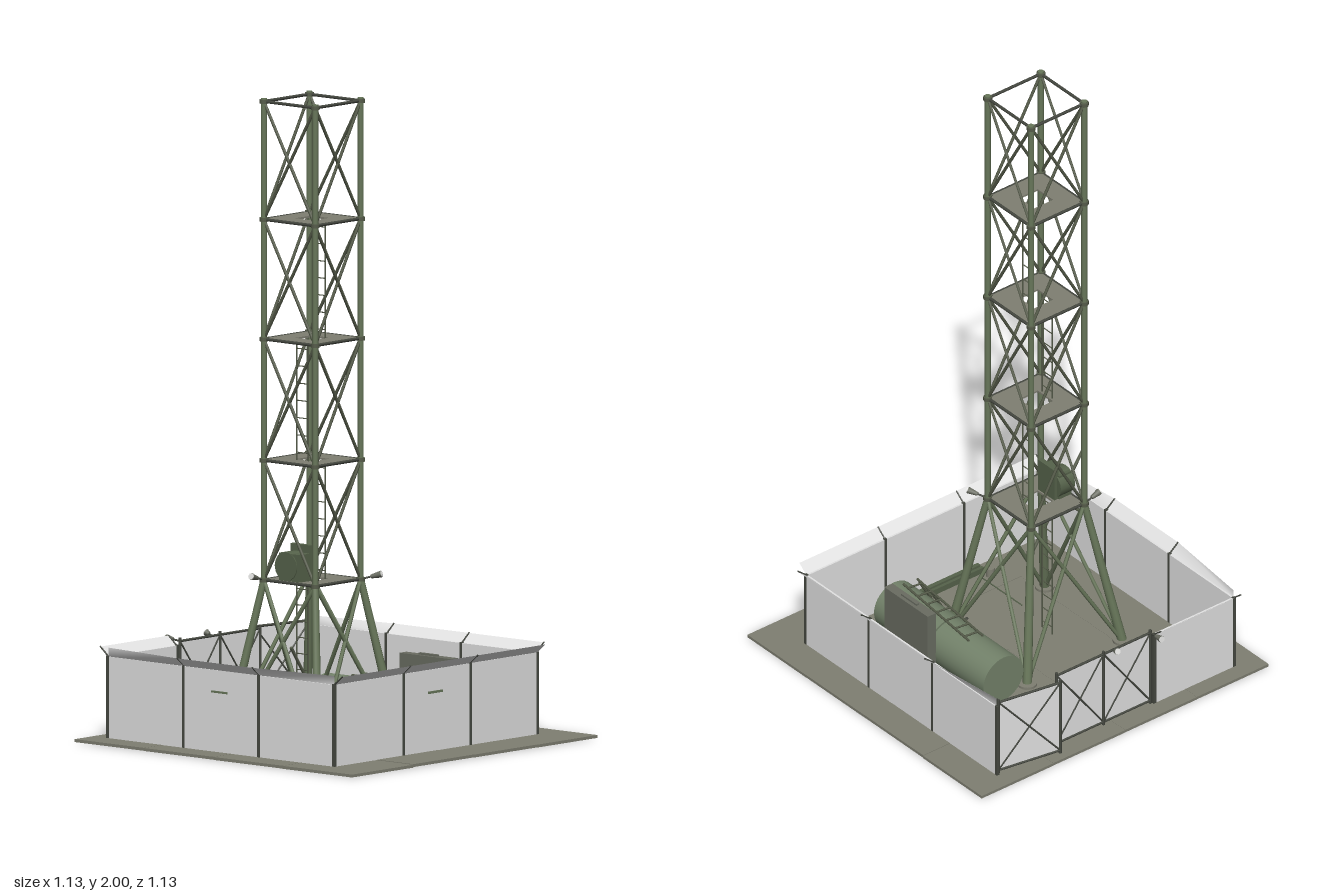
import * as THREE from 'three';

const mat = (name, color, side = THREE.FrontSide) => {
  const m = new THREE.MeshStandardMaterial({ color, side });
  m.name = name;
  return m;
};

export function createModel() {
  const root = new THREE.Group();
  root.name = 'fencedLatticeTower';
  const concrete = mat('olive grey concrete', 0x7f7f72);
  const panel = mat('light grey panel', 0xe3e3e3, THREE.DoubleSide);
  const green = mat('leg green', 0x68775a);
  const tankGreen = mat('tank green', 0x73826a);
  const deepGreen = mat('deep green', 0x56634b);
  const olive = mat('olive steel', 0x565c4a);
  const dark = mat('dark steel', 0x464941);
  const grey = mat('cabinet grey', 0x6a6d62);
  const white = mat('lamp white', 0xe8e8e6);

  const V = (x, y, z) => new THREE.Vector3(x, y, z);
  const group = (name, parent = root) => {
    const g = new THREE.Group();
    g.name = name;
    parent.add(g);
    return g;
  };
  const add = (parent, name, geo, m) => {
    const mesh = new THREE.Mesh(geo, m);
    mesh.name = name;
    parent.add(mesh);
    return mesh;
  };
  // Box given by its limits on each axis
  const box = (parent, name, x0, x1, y0, y1, z0, z1, m) => {
    const mesh = add(parent, name, new THREE.BoxGeometry(x1 - x0, y1 - y0, z1 - z0), m);
    mesh.position.set((x0 + x1) / 2, (y0 + y1) / 2, (z0 + z1) / 2);
    return mesh;
  };
  // Round bar between two points
  const bar = (parent, name, a, b, r, m, sides = 8, r2 = r) => {
    const d = b.clone().sub(a);
    const mesh = add(parent, name, new THREE.CylinderGeometry(r2, r, d.length(), sides), m);
    mesh.position.copy(a).add(b).multiplyScalar(0.5);
    mesh.quaternion.setFromUnitVectors(V(0, 1, 0), d.normalize());
    return mesh;
  };
  // Flat sheet with four corners in order
  const sheet = (parent, name, corners, m) => {
    const geo = new THREE.BufferGeometry().setFromPoints(corners);
    geo.setIndex([0, 1, 2, 0, 2, 3]);
    geo.computeVertexNormals();
    add(parent, name, geo, m);
  };
  // Ladder: two rails offset sideways from a centre line, and rungs
  const ladder = (parent, name, a, b, half, count, r) => {
    const g = group(name, parent);
    for (const s of [-1, 1]) {
      const o = half.clone().multiplyScalar(s);
      bar(g, 'ladderRail', a.clone().add(o), b.clone().add(o), r, olive, 6);
    }
    for (let i = 0; i < count; i++) {
      const p = a.clone().lerp(b, (i + 0.5) / count);
      bar(g, 'ladderRung', p.clone().sub(half), p.clone().add(half), r * 0.8, olive, 6);
    }
  };

  // Ground slabs, laid slightly unevenly
  const ground = group('ground');
  for (let i = 0; i < 4; i++) for (let j = 0; j < 4; j++) {
    const x = -0.57 + i * 0.2835, z = -0.57 + j * 0.2835, lift = ((i * 3 + j * 5) % 4) * 0.0006;
    box(ground, 'groundSlab', x, x + 0.2835, lift, 0.009 + lift, z, z + 0.2835, concrete);
  }

  // Fence panels with a strip on top that leans outward (o0, o1: lean at each end)
  const fence = group('fence');
  const fencePanel = (x0, z0, x1, z1, nx, nz, o0, o1) => {
    const t = 0.004;
    box(fence, 'fencePanel', Math.min(x0, x1) - (nx ? t : 0), Math.max(x0, x1) + (nx ? t : 0), 0.01, 0.263,
      Math.min(z0, z1) - (nz ? t : 0), Math.max(z0, z1) + (nz ? t : 0), panel);
    sheet(fence, 'leaningStrip', [V(x0, 0.261, z0), V(x1, 0.261, z1),
      V(x1 + nx * o1, 0.29, z1 + nz * o1), V(x0 + nx * o0, 0.29, z0 + nz * o0)], panel);
  };
  const post = (x, z, nx, nz) => {
    box(fence, 'fencePost', x - 0.005, x + 0.005, 0.01, 0.265, z - 0.005, z + 0.005, dark);
    bar(fence, 'postArm', V(x, 0.263, z), V(x + nx * 0.034, 0.291, z + nz * 0.034), 0.0025, dark, 6);
  };
  const xs = [-0.51, -0.2, 0.107, 0.413], zs = [-0.46, -0.15, 0.16, 0.475];
  for (let i = 0; i < 3; i++) {
    const L = 0.034;
    fencePanel(xs[i], zs[3], xs[i + 1], zs[3], 0, 1, i === 0 ? 0 : L, i === 2 ? 0 : L);
    fencePanel(xs[i + 1], zs[0], xs[i], zs[0], 0, -1, L, i === 0 ? 0 : L);
    fencePanel(xs[3], zs[i + 1], xs[3], zs[i], 1, 0, L, L);
    post(xs[i + 1], zs[0], 0, -1);
    post(xs[3], zs[i + 1], 1, 0);
  }
  fencePanel(xs[0], zs[2], xs[0], zs[3], -1, 0, 0.034, 0.034);
  post(xs[1], zs[3], 0, 1);
  post(xs[2], zs[3], 0, 1);
  post(xs[0], zs[0], 0, 0);
  post(xs[0], zs[2], -1, 0);
  post(xs[0], zs[3], -1, 0);
  box(fence, 'frontLabelPlate', -0.083, -0.02, 0.193, 0.199, 0.479, 0.483, green);
  box(fence, 'sideLabelPlate', 0.417, 0.421, 0.189, 0.196, -0.018, 0.046, green);

  // Braced gates with sheet infill on the right side
  const gate = (name, a, b, bays) => {
    const g = group(name);
    const at = (t, y) => a.clone().lerp(b, t).setY(y);
    sheet(g, 'gateSheet', [at(0, 0.025), at(1, 0.025), at(1, 0.275), at(0, 0.275)], panel);
    for (const y of [0.025, 0.275]) bar(g, 'gateRail', at(0, y), at(1, y), 0.004, dark);
    for (let i = 0; i <= bays; i++) bar(g, 'gateUpright', at(i / bays, 0.015), at(i / bays, 0.285), 0.005, dark);
    for (let i = 0; i < bays; i++) {
      const p = i / bays, q = (i + 1) / bays;
      bar(g, 'gateBrace', at(p, 0.025), at(q, 0.275), 0.003, dark, 6);
      bar(g, 'gateBrace', at(p, 0.275), at(q, 0.025), 0.003, dark, 6);
    }
  };
  gate('openGate', V(-0.51, 0, -0.455), V(-0.546, 0, -0.24), 1);
  gate('closedGate', V(-0.51, 0, -0.225), V(-0.51, 0, 0.145), 2);

  // Tower: splayed base legs, then four straight bays
  const tower = group('tower');
  const cz = 0.11, h = 0.105, levels = [0.51, 0.88, 1.255, 1.625, 1.99];
  const signs = [[-1, -1], [1, -1], [1, 1], [-1, 1]];
  const corner = (k, y, w = h) => V(signs[k % 4][0] * w, y, cz + signs[k % 4][1] * w);
  for (let k = 0; k < 4; k++) {
    bar(tower, 'baseLeg', corner(k, 0.01, 0.188), corner(k, 0.51), 0.015, green, 10, 0.011);
    bar(tower, 'footing', corner(k, 0.01, 0.188), corner(k, 0.018, 0.188), 0.03, concrete, 20);
    bar(tower, 'towerLeg', corner(k, 0.51), corner(k, 2), 0.0095, green, 10);
    const rings = [0.01, ...levels];
    rings.forEach((y, i) => {
      const w = i === 0 ? 0.188 : h;
      if (i > 0) {
        bar(tower, 'legFlange', corner(k, y - 0.006), corner(k, y + 0.006), 0.014, olive, 10);
        bar(tower, 'girt', corner(k, y), corner(k + 1, y), 0.005, dark, 6);
      }
      if (i < rings.length - 1) {
        const r = i === 0 ? 0.0065 : 0.0048, m = i === 0 ? green : olive;
        bar(tower, 'brace', corner(k, y, w), corner(k + 1, rings[i + 1]), r, m, 6);
        bar(tower, 'brace', corner(k + 1, y, w), corner(k, rings[i + 1]), r, m, 6);
      }
    });
  }

  // Decks with a hatch, and ladders that alternate sides of it
  const deckShape = new THREE.Shape([[-h, -h], [h, -h], [h, h], [-h, h]].map(p => new THREE.Vector2(...p)));
  const hatch = 0.037;
  deckShape.holes.push(new THREE.Path(
    [[-hatch, -hatch], [-hatch, hatch], [hatch, hatch], [hatch, -hatch]].map(p => new THREE.Vector2(...p))));
  const deckGeo = new THREE.ExtrudeGeometry(deckShape, { depth: 0.006, bevelEnabled: false });
  deckGeo.rotateX(-Math.PI / 2);
  for (let i = 0; i < 4; i++) {
    add(tower, 'deck', deckGeo, concrete).position.set(0, levels[i] - 0.003, cz);
    const z = i % 2 ? 0.077 : 0.155;
    ladder(tower, 'towerLadder', V(0, i ? levels[i - 1] : 0.01, z), V(0, levels[i], z), V(0.024, 0, 0), i ? 7 : 10, 0.0022);
  }

  // Equipment box on the lowest deck
  const unit = group('equipmentBox', tower);
  box(unit, 'boxBody', -0.045, 0.04, 0.515, 0.6, 0.165, 0.213, deepGreen);
  box(unit, 'boxBack', -0.04, 0.04, 0.515, 0.625, 0.15, 0.166, deepGreen);
  bar(unit, 'boxDrum', V(-0.015, 0.56, 0.16), V(-0.015, 0.56, 0.216), 0.045, deepGreen, 16);

  // Floodlights on arms
  const lamp = (base, tip) => {
    const g = group('floodlight');
    const mid = base.clone().lerp(tip, 0.5);
    bar(g, 'lampArm', base, mid, 0.003, dark, 6);
    bar(g, 'lampHood', mid, tip, 0.006, grey, 10, 0.011);
    const end = tip.clone().add(tip.clone().sub(mid).normalize().multiplyScalar(0.003));
    bar(g, 'lampLens', tip, end, 0.01, white, 10);
  };
  lamp(V(0.105, 0.51, 0.005), V(0.158, 0.527, -0.03));
  lamp(V(-0.105, 0.51, 0.215), V(-0.103, 0.527, 0.275));
  lamp(V(-0.51, 0.275, 0.145), V(-0.565, 0.28, 0.145));
  lamp(V(-0.51, 0.275, -0.005), V(-0.535, 0.283, -0.005));

  // Two lying tanks on cradles
  const tanks = group('tanks');
  for (const x of [-0.21, 0.058]) {
    bar(tanks, 'tank', V(x, 0.09, -0.19), V(x + 0.262, 0.09, -0.19), 0.079, tankGreen, 32);
    for (const dx of [0.04, 0.2]) box(tanks, 'tankCradle', x + dx, x + dx + 0.02, 0.01, 0.05, -0.25, -0.13, dark);
  }
  bar(tanks, 'outletPipe', V(0.117, 0.09, -0.125), V(0.117, 0.09, -0.065), 0.004, dark);
  ladder(tanks, 'lyingLadder', V(-0.082, 0.176, -0.195), V(0.283, 0.176, -0.155), V(-0.003, 0, 0.025), 7, 0.004);
  ladder(tanks, 'leaningLadder', V(0.27, 0.012, -0.03), V(0.27, 0.15, -0.112), V(0.024, 0, 0), 4, 0.0035);

  // Control cabinet behind the tanks
  const cabinet = group('cabinet');
  box(cabinet, 'cabinetBody', 0.022, 0.232, 0.01, 0.245, -0.3, -0.268, grey);
  box(cabinet, 'cabinetHandle', 0.09, 0.165, 0.245, 0.251, -0.289, -0.279, grey);

  // Loose beams, pipes and a leaning cross pole
  const yard = group('yardItems');
  box(yard, 'beam', 0.367, 0.377, 0.01, 0.03, -0.21, 0.205, deepGreen);
  box(yard, 'beam', 0.385, 0.399, 0.01, 0.03, -0.17, 0.205, deepGreen);
  box(yard, 'beam', -0.36, -0.35, 0.01, 0.025, 0.1, 0.385, deepGreen);
  bar(yard, 'pipe', V(-0.392, 0.015, 0.143), V(-0.392, 0.015, 0.39), 0.003, olive);
  bar(yard, 'pipeEnd', V(-0.392, 0.015, 0.143), V(-0.425, 0.015, 0.11), 0.003, olive);
  bar(yard, 'rod', V(-0.371, 0.013, 0.245), V(-0.371, 0.013, 0.37), 0.0015, olive, 6);
  box(yard, 'block', -0.326, -0.319, 0.01, 0.018, 0.27, 0.29, grey);
  bar(yard, 'rod', V(0.15, 0.015, 0.178), V(0.355, 0.015, 0.178), 0.002, deepGreen, 6);
  bar(yard, 'canister', V(0.343, 0.01, 0.21), V(0.343, 0.04, 0.21), 0.014, concrete, 16);
  bar(yard, 'crossPole', V(0.285, 0.065, 0.32), V(0.285, 0.372, 0.53), 0.005, olive);
  bar(yard, 'crossArm', V(0.172, 0.235, 0.435), V(0.382, 0.235, 0.435), 0.005, olive);

  return root;
}
